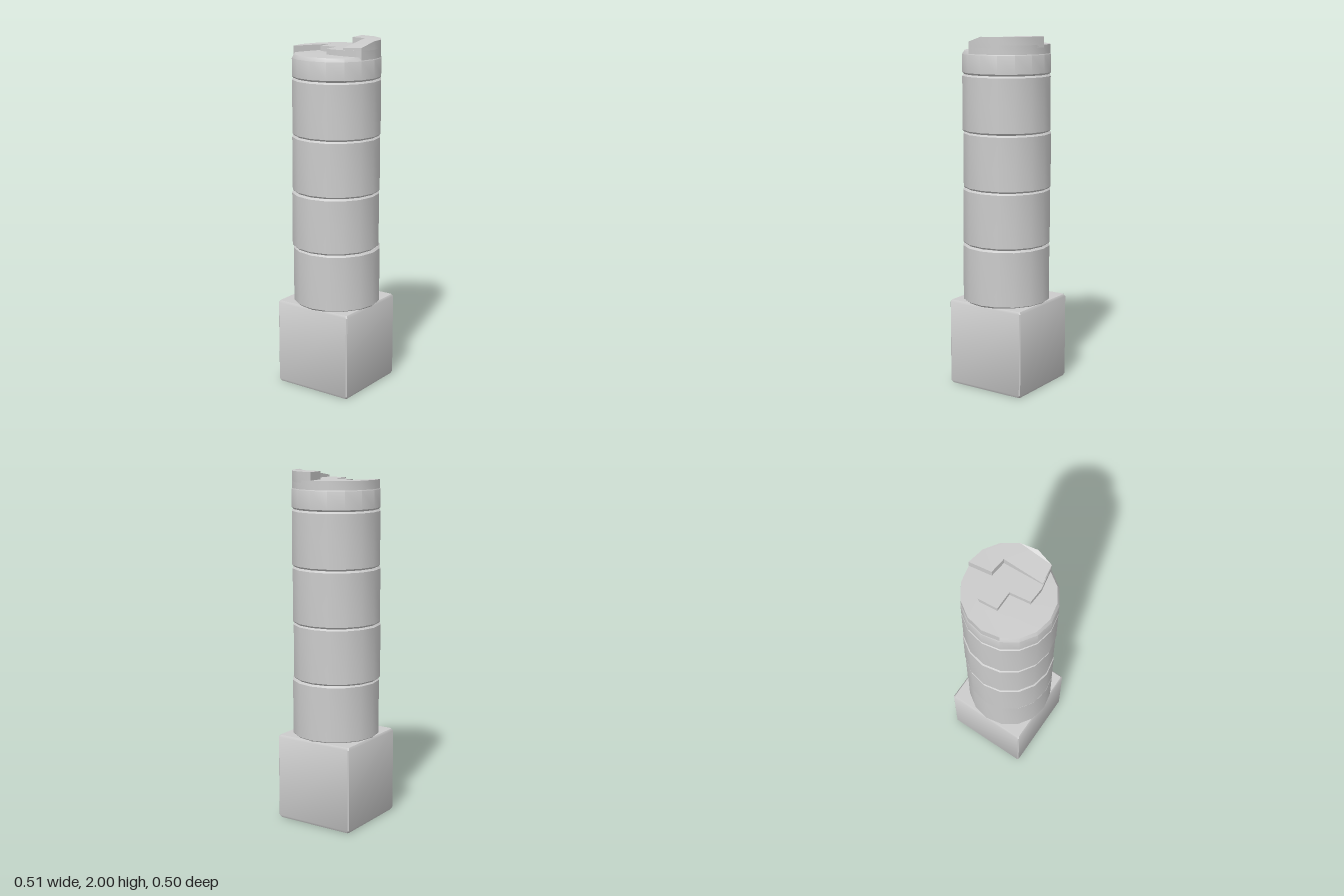
import * as THREE from 'three';
import { toCreasedNormals } from 'three/addons/utils/BufferGeometryUtils.js';

const SIDES = 16;
const material = new THREE.MeshStandardMaterial({ color: 0xcccccc, side: THREE.DoubleSide });

function part(name, geometry, parent) {
  const mesh = new THREE.Mesh(toCreasedNormals(geometry, 0.6), material);
  mesh.name = name;
  parent.add(mesh);
  return mesh;
}

// 16-sided solid from [radius, height] pairs
function turned(profile) {
  return new THREE.LatheGeometry(profile.map(([r, y]) => new THREE.Vector2(r, y)), SIDES);
}

// Rim corners as [x, z]; corner 0 faces front, 4 faces +x, 8 faces back
function rim(from, to, radius) {
  const points = [];
  for (let i = from; i <= to; i++) {
    const a = (i / SIDES) * Math.PI * 2;
    points.push([radius * Math.sin(a), radius * Math.cos(a)]);
  }
  return points;
}

// Upright slab with an [x, z] outline
function slab(outline, bottom, top) {
  const shape = new THREE.Shape(outline.map(([x, z]) => new THREE.Vector2(x, -z)));
  const g = new THREE.ExtrudeGeometry(shape, { depth: top - bottom, bevelEnabled: false });
  return g.rotateX(-Math.PI / 2).translate(0, bottom, 0);
}

// Hollow plinth, open below, lofted from square rings with clipped corners
function plinthGeometry() {
  const rings = [[0, 0.234], [0.015, 0.242], [0.487, 0.242], [0.5, 0.234]];
  const positions = [];
  const index = [];
  for (const [y, h] of rings) {
    const c = h - 0.006;
    for (const [x, z] of [[-c, h], [c, h], [h, c], [h, -c], [c, -h], [-c, -h], [-h, -c], [-h, c]]) {
      positions.push(x, y, z);
    }
  }
  for (let r = 0; r < rings.length - 1; r++) {
    for (let i = 0; i < 8; i++) {
      const a = r * 8 + i;
      const b = r * 8 + (i + 1) % 8;
      index.push(a, b, b + 8, a, b + 8, a + 8);
    }
  }
  const top = (rings.length - 1) * 8;
  for (let i = 1; i < 7; i++) index.push(top, top + i, top + i + 1);
  const g = new THREE.BufferGeometry();
  g.setAttribute('position', new THREE.Float32BufferAttribute(positions, 3));
  g.setIndex(index);
  return g;
}

export function createModel() {
  const column = new THREE.Group();
  column.name = 'brokenColumn';

  part('plinth', plinthGeometry(), column).position.set(-0.008, 0, -0.008);

  // Four stacked drums, each a little out of line
  const levels = [0.495, 0.828, 1.15, 1.47, 1.79];
  const shifts = [[0.001, 0], [-0.005, 0.002], [-0.004, -0.002], [0, 0]];
  shifts.forEach(([x, z], i) => {
    const low = levels[i];
    const high = levels[i + 1];
    const drum = part(`drum${i + 1}`, turned([
      [0, low], [0.24, low], [0.25, low + 0.01], [0.25, high - 0.01], [0.24, high], [0, high],
    ]), column);
    drum.position.set(x, 0, z);
  });

  // Snapped-off top: worn low layer with two broken tiers on it
  const brokenTop = new THREE.Group();
  brokenTop.name = 'brokenTop';
  column.add(brokenTop);
  part('lowTier', turned([
    [0, 1.79], [0.24, 1.79], [0.25, 1.8], [0.25, 1.9], [0.238, 1.92], [0.12, 1.925], [0, 1.925],
  ]), brokenTop);

  part('middleTier', slab([
    ...rim(3, 13, 0.247),
    [-0.12, -0.112], [-0.11, 0], [-0.005, 0], [0.012, 0.115], [0.1, 0.12],
  ], 1.88, 1.955), brokenTop);

  // Highest tier, dipping toward the front
  const highTier = slab([
    ...rim(3, 8, 0.247), [0.02, -0.122], [0.11, -0.112], [0.122, 0.112],
  ], 1.94, 2);
  const p = highTier.attributes.position;
  for (let i = 0; i < p.count; i++) {
    if (p.getY(i) > 1.99) p.setY(i, 2 - 0.3 * Math.max(0, p.getZ(i)));
  }
  part('highTier', highTier, brokenTop);

  return column;
}
